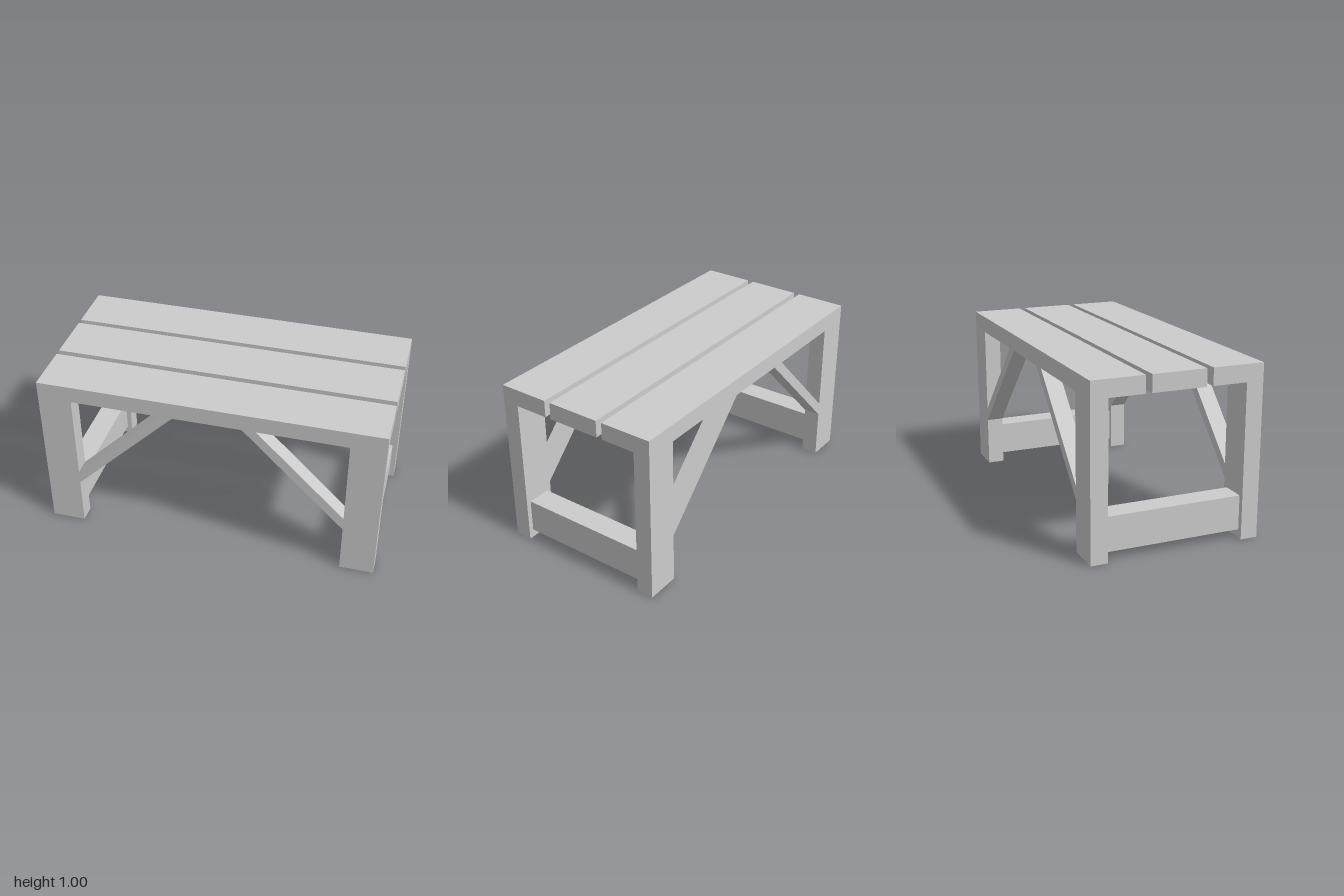
import * as THREE from 'three';

const material = new THREE.MeshStandardMaterial({ color: 0xcccccc, flatShading: true });

// Box spanning the given [min, max] ranges
function addBox(parent, name, [x0, x1], [y0, y1], [z0, z1]) {
  const mesh = new THREE.Mesh(new THREE.BoxGeometry(x1 - x0, y1 - y0, z1 - z0), material);
  mesh.name = name;
  mesh.position.set((x0 + x1) / 2, (y0 + y1) / 2, (z0 + z1) / 2);
  parent.add(mesh);
}

// Diagonal brace with ends cut flush to the leg and the plank
function braceGeometry(side) {
  const points = [[0.8, 0.3], [0.8, 0.38], [0.28, 0.9], [0.2, 0.9]];
  const shape = new THREE.Shape(points.map(([x, y]) => new THREE.Vector2(x * side, y)));
  return new THREE.ExtrudeGeometry(shape, { depth: 0.1, bevelEnabled: false });
}

export function createModel() {
  const bench = new THREE.Group();
  bench.name = 'bench';

  // Seat planks
  addBox(bench, 'frontPlank', [-1, 1], [0.9, 1], [0.197, 0.5]);
  addBox(bench, 'middlePlank', [-1, 1], [0.9, 1], [-0.157, 0.16]);
  addBox(bench, 'backPlank', [-1, 1], [0.9, 1], [-0.5, -0.193]);

  for (const side of [1, -1]) {
    const sideName = side > 0 ? 'left' : 'right';
    const span = (a, b) => (side > 0 ? [a, b] : [-b, -a]);

    // Low rail joining front and back legs
    addBox(bench, `${sideName}Rail`, span(0.83, 0.97), [0.05, 0.25], [-0.4, 0.4]);

    for (const [end, z] of [['Front', 0.4], ['Back', -0.5]]) {
      addBox(bench, `${sideName}${end}Leg`, span(0.8, 1), [0, 0.9], [z, z + 0.1]);

      const brace = new THREE.Mesh(braceGeometry(side), material);
      brace.name = `${sideName}${end}Brace`;
      brace.position.z = z;
      bench.add(brace);
    }
  }
  return bench;
}
